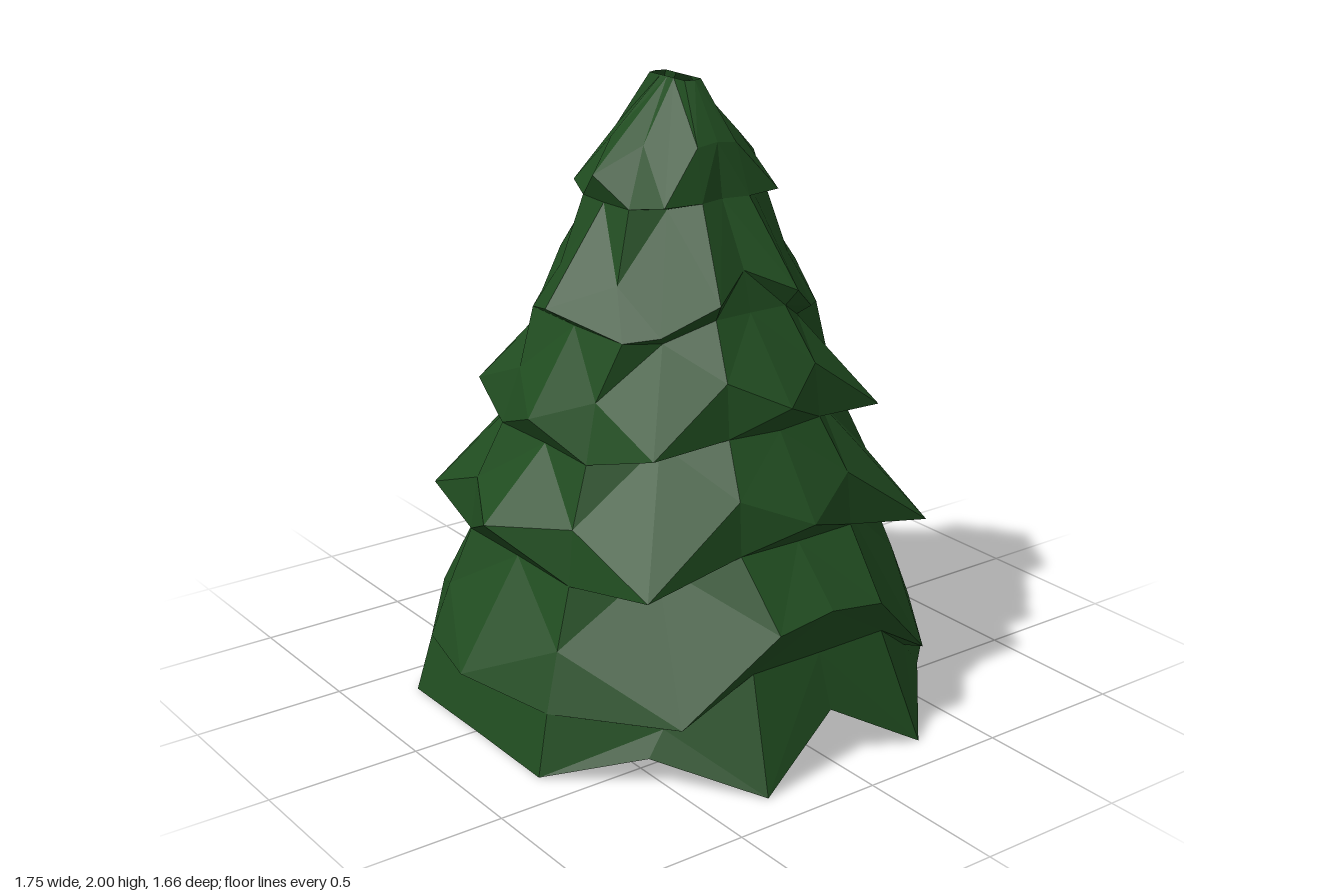
import * as THREE from 'three';

// Rib profiles for one quarter, from the side (x axis) round to the front (z axis).
// Each is a list of [radius, height], from the top: rim, then tip and tuck of every tier, then hem.
// A third value bends that point to its own angle.
const ribs = [
  { angle: 0, points: [[0.1, 2], [0.215, 1.83], [0.24, 1.66], [0.35, 1.46], [0.385, 1.335], [0.59, 1.085],
    [0.535, 1], [0.71, 0.75], [0.63, 0.67], [0.8, 0.5], [0.74, 0.34], [0.8, 0.17]] },
  { angle: 19, points: [[0.095, 2], [0.225, 1.82], [0.275, 1.66], [0.455, 1.39], [0.41, 1.335], [0.52, 1.17],
    [0.54, 1], [0.645, 0.84], [0.66, 0.67], [0.82, 0.47, 14], [0.78, 0.34], [0.925, 0]] },
  { angle: 42, points: [[0.045, 2], [0.325, 1.66], [0.25, 1.64], [0.435, 1.29], [0.39, 1.26], [0.655, 0.98],
    [0.47, 0.97], [0.82, 0.6], [0.565, 0.62], [0.84, 0.2, 35], [0.77, 0.17, 39], [0.81, 0.09]] },
  { angle: 65, points: [[0.033, 2], [0.2, 1.82], [0.29, 1.64], [0.365, 1.42], [0.45, 1.27, 57], [0.5, 1.09],
    [0.56, 0.91], [0.645, 0.73], [0.67, 0.555], [0.745, 0.37], [0.81, 0.19], [0.863, 0]] },
  { angle: 90, points: [[0.03, 2], [0.31, 1.73], [0.27, 1.64], [0.49, 1.34], [0.385, 1.27], [0.56, 1],
    [0.5, 0.91], [0.73, 0.69], [0.61, 0.56], [0.83, 0.215], [0.74, 0.19], [0.78, 0]] },
];
const columns = 16;

// Vertex of the full tree: the quarter is mirrored four times round the axis
function vertex(row, column) {
  const c = column % columns;
  const quarter = Math.floor(c / 4);
  const step = c % 4;
  const flipped = quarter % 2 === 1;
  const rib = ribs[flipped ? 4 - step : step];
  const [r, y, angle = rib.angle] = rib.points[row];
  const a = THREE.MathUtils.degToRad(quarter * 90 + (flipped ? 90 - angle : angle));
  return [r * Math.cos(a), y, r * Math.sin(a)];
}

// Faceted band between two rows, with diagonals mirrored about each tip
function tierGeometry(firstRow, lastRow) {
  const positions = [];
  for (let row = firstRow; row < lastRow; row++) {
    for (let c = 0; c < columns; c++) {
      const upA = vertex(row, c), upB = vertex(row, c + 1);
      const lowA = vertex(row + 1, c), lowB = vertex(row + 1, c + 1);
      const triangles = c % 2 === 0
        ? [lowA, upA, lowB, upA, upB, lowB]
        : [lowA, upA, upB, lowA, upB, lowB];
      positions.push(...triangles.flat());
    }
  }
  const geometry = new THREE.BufferGeometry();
  geometry.setAttribute('position', new THREE.Float32BufferAttribute(positions, 3));
  geometry.computeVertexNormals();
  return geometry;
}

export function createModel() {
  const tree = new THREE.Group();
  tree.name = 'pineTree';
  const needles = new THREE.MeshStandardMaterial({ color: 0x204c20, flatShading: true, side: THREE.DoubleSide });
  needles.name = 'darkGreen';

  // Six overlapping tiers of branches; the lowest has only a jagged open hem
  const names = ['crown', 'upperTier', 'middleTier', 'broadTier', 'lowerTier', 'bottomSkirt'];
  names.forEach((name, i) => {
    const mesh = new THREE.Mesh(tierGeometry(i * 2, Math.min(i * 2 + 2, 11)), needles);
    mesh.name = name;
    tree.add(mesh);
  });
  return tree;
}
